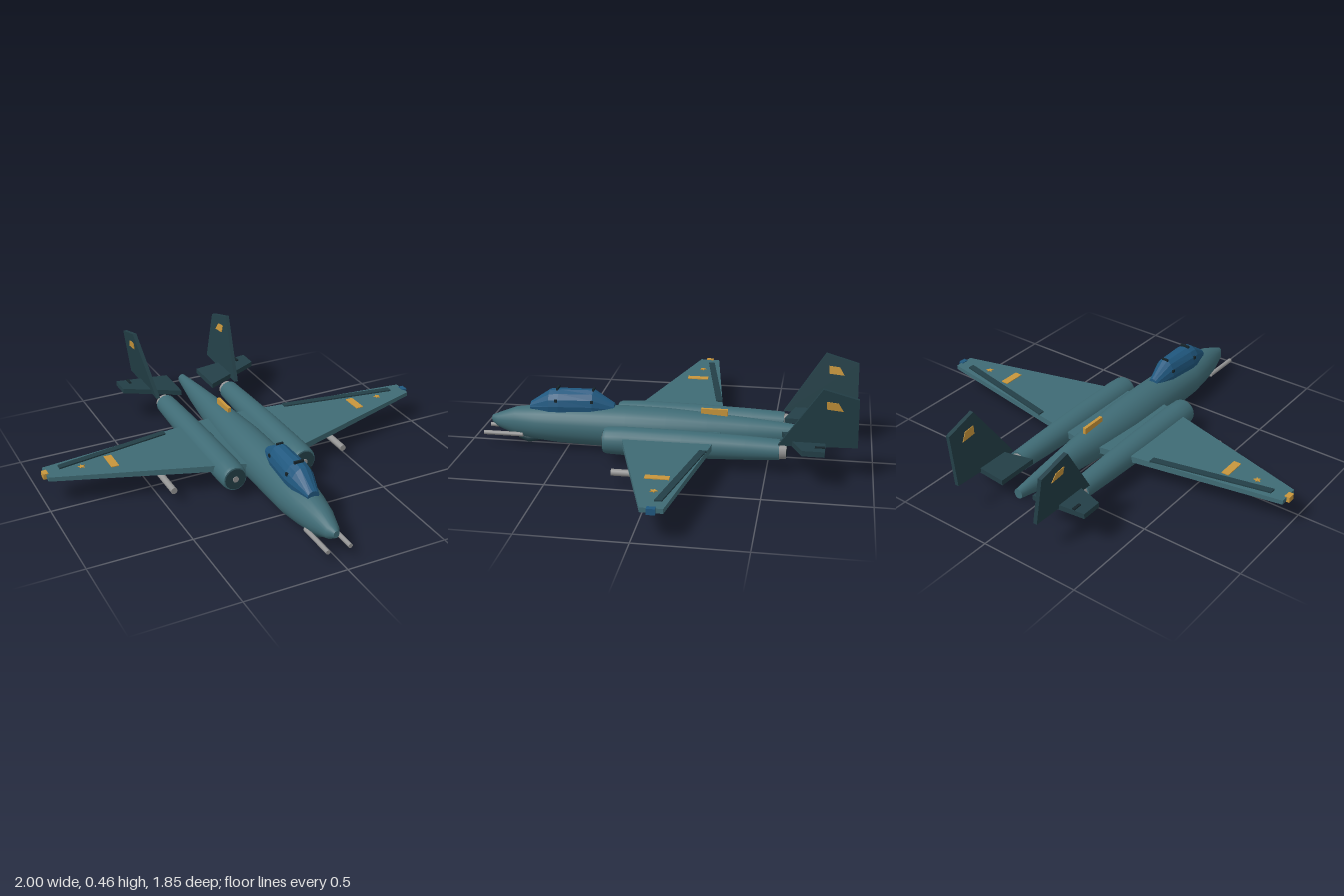
import * as THREE from 'three';

const mat = (name, color, side = THREE.FrontSide) => {
  const m = new THREE.MeshStandardMaterial({ color, side });
  m.name = name;
  return m;
};

// Elliptical loft along z. Each section: [z, halfWidth, bottom, top], nose first.
function loft(sections, sides) {
  const pos = [], idx = [];
  for (const [z, w, b, t] of sections) {
    for (let i = 0; i < sides; i++) {
      const a = (i / sides) * Math.PI * 2;
      pos.push(Math.cos(a) * w, (b + t) / 2 + Math.sin(a) * (t - b) / 2, z);
    }
  }
  for (let s = 0; s < sections.length - 1; s++) {
    for (let i = 0; i < sides; i++) {
      const j = (i + 1) % sides, p = s * sides, q = p + sides;
      idx.push(p + i, q + i, p + j, p + j, q + i, q + j);
    }
  }
  // end caps with their own vertices
  [0, sections.length - 1].forEach((s) => {
    const start = pos.length / 3;
    for (let i = 0; i < sides * 3; i++) pos.push(pos[s * sides * 3 + i]);
    for (let i = 1; i < sides - 1; i++) {
      if (s === 0) idx.push(start, start + i, start + i + 1);
      else idx.push(start, start + i + 1, start + i);
    }
  });
  const g = new THREE.BufferGeometry();
  g.setAttribute('position', new THREE.Float32BufferAttribute(pos, 3));
  g.setIndex(idx);
  g.computeVertexNormals();
  return g;
}

// Flat-sided solid between two four-corner loops, wound outward automatically.
function slab(lower, upper) {
  const v = [...lower, ...upper].map((p) => new THREE.Vector3(...p));
  const mid = v.reduce((s, p) => s.add(p), new THREE.Vector3()).divideScalar(8);
  const quads = [[0, 1, 2, 3], [4, 5, 6, 7], [0, 1, 5, 4], [1, 2, 6, 5], [2, 3, 7, 6], [3, 0, 4, 7]];
  const pos = [];
  for (const q of quads) {
    const [a, b, c, d] = q.map((i) => v[i]);
    const n = b.clone().sub(a).cross(c.clone().sub(a));
    const out = n.dot(a.clone().add(c).multiplyScalar(0.5).sub(mid)) > 0;
    const order = out ? [a, b, c, a, c, d] : [a, c, b, a, d, c];
    order.forEach((p) => pos.push(p.x, p.y, p.z));
  }
  const g = new THREE.BufferGeometry();
  g.setAttribute('position', new THREE.Float32BufferAttribute(pos, 3));
  g.computeVertexNormals();
  return g;
}

export function createModel() {
  const teal = mat('teal paint', 0x3f6b75);
  const dark = mat('dark teal paint', 0x233f47);
  const glass = mat('blue glass', 0x20587f);
  const gold = mat('gold markings', 0xc8963c);
  const metal = mat('grey metal', 0x949494);
  const black = mat('dark trim', 0x16242a);

  const root = new THREE.Group();
  root.name = 'jetAircraft';
  const add = (name, geo, m, x = 0, y = 0, z = 0) => {
    const mesh = new THREE.Mesh(geo, m);
    mesh.name = name;
    mesh.position.set(x, y, z);
    root.add(mesh);
    return mesh;
  };
  const rod = (r1, r2, len, sides = 16) => new THREE.CylinderGeometry(r1, r2, len, sides).rotateX(Math.PI / 2);
  const box = (x, y, z) => new THREE.BoxGeometry(x, y, z);

  // Fuselage
  add('fuselage', loft([
    [0.895, 0.014, 0.105, 0.14], [0.86, 0.036, 0.08, 0.155], [0.77, 0.062, 0.045, 0.19],
    [0.66, 0.084, 0.03, 0.205], [0.54, 0.1, 0.02, 0.217], [0.2, 0.101, 0.012, 0.226],
    [0, 0.097, 0.018, 0.224], [-0.2, 0.08, 0.034, 0.213], [-0.4, 0.061, 0.052, 0.2],
    [-0.57, 0.044, 0.073, 0.186], [-0.77, 0.022, 0.115, 0.165],
  ], 24), teal);

  // Canopy and its frame studs
  const canopyGeo = loft([
    [0.69, 0.03, 0.18, 0.226], [0.59, 0.06, 0.15, 0.295], [0.54, 0.066, 0.15, 0.302],
    [0.37, 0.055, 0.15, 0.306], [0.265, 0.025, 0.18, 0.24],
  ], 14).toNonIndexed();
  canopyGeo.computeVertexNormals();
  add('canopy', canopyGeo, glass);
  for (const [z, w, x] of [[0.55, 0.05, 0.059], [0.37, 0.035, 0.05]]) {
    add('canopyFrameTop', box(w, 0.012, 0.01), black, 0, 0.304, z);
    for (const s of [-1, 1]) add('canopyFrameStud', box(0.012, 0.014, 0.014), black, s * x, 0.255, z);
  }

  // Chin sensor and dorsal blade
  add('chinSensor', loft([[0.76, 0.018, 0.025, 0.06], [0.71, 0.028, 0.006, 0.06], [0.65, 0.02, 0.02, 0.06]], 10), dark);
  add('dorsalBlade', box(0.016, 0.04, 0.13), gold, 0, 0.218, -0.23);

  // Wing surface rules
  const top = (x) => 0.15 + (x - 0.25) * 0.021;
  const bottom = (x) => 0.118 + (x - 0.25) * 0.035;
  const lead = (x) => 0.18 - (x - 0.25) * 0.297;
  const trail = (x) => -0.245 + (x - 0.25) * 0.144;
  // Fin rules: outward lean
  const finX = (y) => 0.228 + (y - 0.17) * 0.14;

  const star = new THREE.Shape();
  for (let i = 0; i < 10; i++) {
    const a = (i / 10) * Math.PI * 2 + Math.PI / 2, r = i % 2 ? 0.008 : 0.019;
    star[i ? 'lineTo' : 'moveTo'](Math.cos(a) * r, Math.sin(a) * r);
  }
  const starGeo = new THREE.ExtrudeGeometry(star, { depth: 0.004, bevelEnabled: false }).rotateX(-Math.PI / 2);

  for (const s of [1, -1]) {
    const side = s > 0 ? 'left' : 'right';
    const part = (name, geo, m, x = 0, y = 0, z = 0) => add(side + name, geo, m, s * x, y, z);
    // loop of [x, z] points at a height rule
    const loop = (pts, h) => pts.map(([x, z]) => [s * x, h(x), z]);

    // Wing with raised flap and markings
    const plan = [0.05, 0.985].flatMap((x, i) => (i ? [[x, trail(x)], [x, lead(x)]] : [[x, lead(x)], [x, trail(x)]]));
    part('Wing', slab(loop(plan, bottom), loop(plan, top)), teal);
    const flap = [[0.335, -0.2], [0.335, -0.233], [0.915, -0.122], [0.915, -0.09]];
    part('Flap', slab(loop(flap, (x) => top(x) - 0.004), loop(flap, (x) => top(x) + 0.007)), dark);
    const band = [[0.652, -0.005], [0.652, -0.115], [0.69, -0.115], [0.69, -0.005]];
    part('WingBand', slab(loop(band, (x) => top(x) - 0.002), loop(band, (x) => top(x) + 0.004)), gold);
    part('WingStar', starGeo, gold, 0.815, top(0.815), -0.07);
    part('TipLight', box(0.025, 0.028, 0.038), s > 0 ? glass : gold, 0.9875, 0.155, -0.088);

    // Engine nacelle, intake and exhaust
    part('Nacelle', loft([
      [0.28, 0.058, 0.057, 0.175], [0.265, 0.064, 0.052, 0.182], [0.19, 0.067, 0.05, 0.187],
      [-0.1, 0.064, 0.053, 0.187], [-0.4, 0.056, 0.064, 0.179], [-0.56, 0.051, 0.073, 0.172],
    ], 20), teal, 0.184);
    part('Intake', rod(0.053, 0.053, 0.006, 20), dark, 0.184, 0.116, 0.281);
    part('IntakeHub', rod(0.015, 0.015, 0.01), metal, 0.184, 0.116, 0.283);
    part('Exhaust', rod(0.045, 0.04, 0.05, 20), metal, 0.184, 0.12, -0.568);
    part('ExhaustCore', rod(0.03, 0.03, 0.006), black, 0.184, 0.12, -0.592);

    // Underwing store and nose gun
    part('UnderwingRod', rod(0.016, 0.016, 0.28), metal, 0.457, 0.074, 0.05);
    part('NoseGun', rod(0.011, 0.011, 0.2, 12), metal, 0.056, 0.066, 0.825);

    // Tailplane
    const stab = [[0.09, -0.565], [0.09, -0.775], [0.378, -0.772], [0.378, -0.67]];
    const stabY = (x) => 0.15 + (x - 0.09) * 0.095;
    part('Tailplane', slab(loop(stab, stabY), loop(stab, (x) => stabY(x) + 0.026)), dark);
    part('TailplaneHinge', box(0.014, 0.012, 0.045), black, 0.317, 0.197, -0.748);

    // Leaning fin with a marking on each face
    const finLoop = (pts, off) => pts.map(([z, y]) => [s * (finX(y) + off), y, z]);
    const fin = [[-0.555, 0.165], [-0.752, 0.465], [-0.915, 0.42], [-0.92, 0.175]];
    part('Fin', slab(finLoop(fin, -0.01), finLoop(fin, 0.01)), dark);
    const patch = [[-0.772, 0.367], [-0.768, 0.406], [-0.822, 0.4], [-0.846, 0.36]];
    for (const f of [-1, 1]) {
      part('FinMarking', slab(finLoop(patch, f * 0.008), finLoop(patch, f * 0.013)), gold);
    }
  }
  return root;
}
